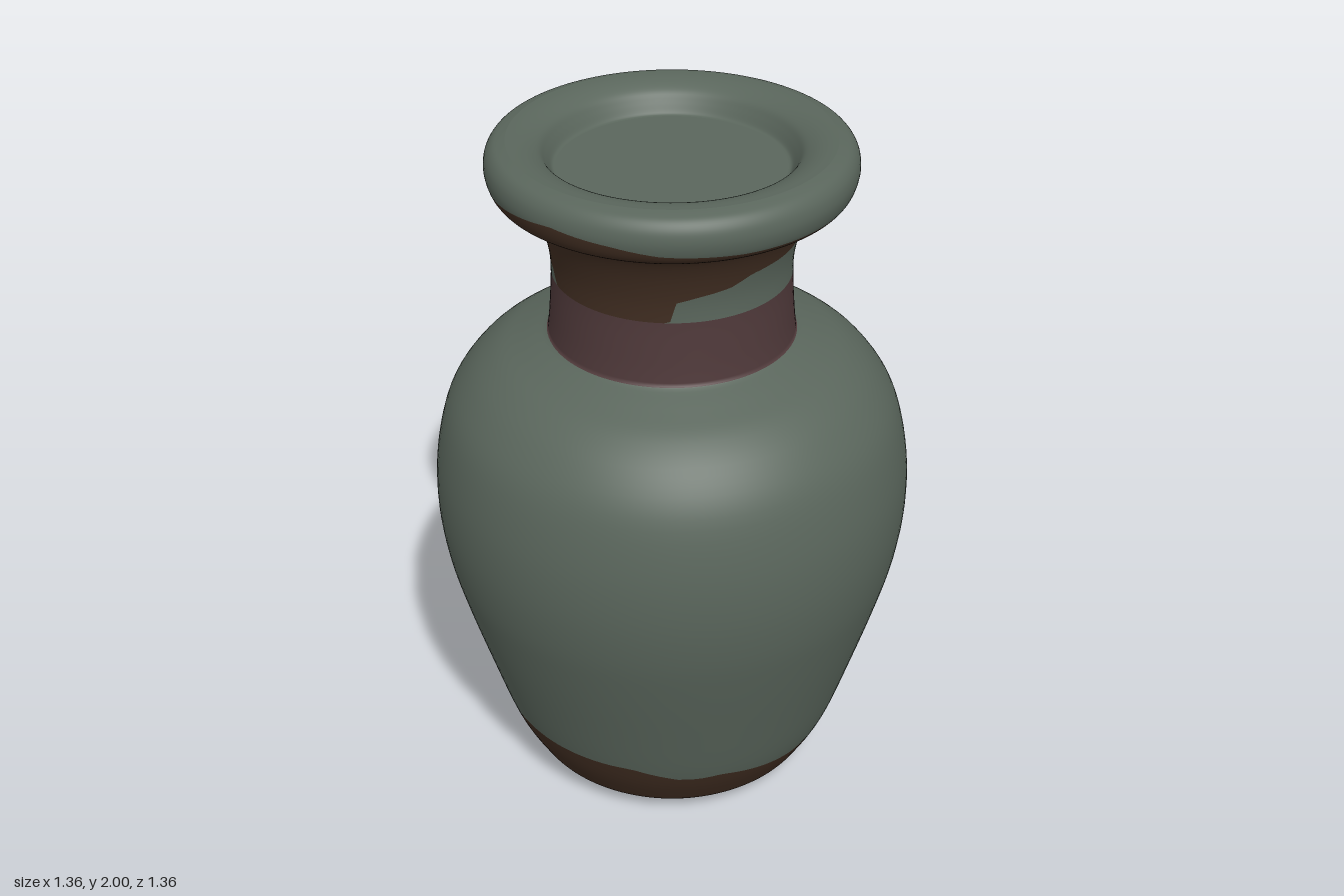
import * as THREE from 'three';

const SEGMENTS = 128;

// Outer silhouette as [radius, height], from the centre of the foot to the rim top
const dense = (pts) =>
  new THREE.SplineCurve(pts.map(([r, y]) => new THREE.Vector2(r, y))).getPoints(pts.length * 4);
const foot = [new THREE.Vector2(0, 0), new THREE.Vector2(0.2, 0.015), new THREE.Vector2(0.37, 0.034)];
const body = dense([
  [0.39, 0.037], [0.42, 0.055], [0.445, 0.09], [0.5, 0.2], [0.564, 0.4], [0.623, 0.6], [0.66, 0.75],
  [0.678, 0.9], [0.672, 1.05], [0.637, 1.2], [0.575, 1.3], [0.5, 1.365], [0.42, 1.403], [0.35, 1.432],
]);
const neck = dense([
  [0.345, 1.436], [0.338, 1.5], [0.331, 1.62], [0.337, 1.7], [0.36, 1.78], [0.395, 1.835], [0.455, 1.858],
  [0.485, 1.88], [0.499, 1.92], [0.497, 1.955], [0.484, 1.98], [0.465, 1.994], [0.44, 2.0],
]);
const profile = [...foot, ...body, ...neck];

function radiusAt(y) {
  for (let i = 1; i < profile.length; i++) {
    const a = profile[i - 1], b = profile[i];
    if (y <= b.y) return a.x + (b.x - a.x) * Math.min(1, Math.max(0, (y - a.y) / (b.y - a.y || 1)));
  }
  return profile[profile.length - 1].x;
}

// Periodic glaze edge: [degrees from the front toward +x, height]
function glazeEdge(points) {
  const keys = [...points, [360, points[0][1]]];
  return (deg) => {
    const i = Math.max(1, keys.findIndex((k) => k[0] >= deg));
    const [d0, y0] = keys[i - 1], [d1, y1] = keys[i];
    return y0 + ((y1 - y0) * (deg - d0)) / (d1 - d0);
  };
}
const level = (y) => () => y;

// Slice of the turned surface between two edges
function bandGeometry(low, high) {
  const lowest = Math.min(...Array.from({ length: 361 }, (_, d) => low(d)));
  const highest = Math.max(...Array.from({ length: 361 }, (_, d) => high(d)));
  const rows = [lowest, ...profile.map((p) => p.y).filter((y) => y > lowest && y < highest), highest];
  const position = [], normal = [], index = [];
  const n = new THREE.Vector3();
  for (let s = 0; s <= SEGMENTS; s++) {
    const deg = (s * 360) / SEGMENTS;
    const t = THREE.MathUtils.degToRad(deg);
    const bottom = low(deg), top = Math.max(bottom, high(deg));
    rows.forEach((row) => {
      const y = Math.min(top, Math.max(bottom, row));
      const r = radiusAt(y);
      const y0 = Math.max(0, y - 0.006), y1 = Math.min(2, y + 0.006);
      const slope = (radiusAt(y1) - radiusAt(y0)) / (y1 - y0);
      n.set(Math.sin(t), -slope, Math.cos(t)).normalize();
      position.push(r * Math.sin(t), y, r * Math.cos(t));
      normal.push(n.x, n.y, n.z);
    });
  }
  const count = rows.length;
  const height = (i) => position[i * 3 + 1];
  for (let s = 0; s < SEGMENTS; s++) {
    for (let k = 0; k < count - 1; k++) {
      const a = s * count + k, b = a + count, c = b + 1, d = a + 1;
      if (height(d) > height(a)) index.push(a, b, d);
      if (height(c) > height(b)) index.push(c, d, b);
    }
  }
  const geometry = new THREE.BufferGeometry();
  geometry.setAttribute('position', new THREE.Float32BufferAttribute(position, 3));
  geometry.setAttribute('normal', new THREE.Float32BufferAttribute(normal, 3));
  geometry.setIndex(index);
  return geometry;
}

export function createModel() {
  const material = (name, color) => Object.assign(new THREE.MeshStandardMaterial({ color }), { name });
  const green = material('greyGreenGlaze', 0x5a665c);
  const brown = material('brownClay', 0x402d21);
  const maroon = material('maroonBand', 0x4f393a);

  const group = new THREE.Group();
  group.name = 'vase';
  const add = (name, geometry, mat) => {
    const mesh = new THREE.Mesh(geometry, mat);
    mesh.name = name;
    group.add(mesh);
    return mesh;
  };

  // Uneven edges where the glaze stops
  const footEdge = glazeEdge([
    [0, 0.16], [15, 0.167], [30, 0.18], [45, 0.175], [60, 0.19], [75, 0.2], [90, 0.185], [105, 0.198],
    [117, 0.21], [123, 0.205], [132, 0.175], [142, 0.19], [152, 0.24], [165, 0.22], [180, 0.215],
    [195, 0.235], [210, 0.2], [225, 0.165], [240, 0.2], [255, 0.24], [270, 0.24], [285, 0.24],
    [300, 0.24], [315, 0.2], [322, 0.197], [330, 0.205], [345, 0.18],
  ]);
  const neckEdge = glazeEdge([
    [0, 1.74], [30, 1.745], [60, 1.74], [75, 1.715], [90, 1.71], [120, 1.705], [150, 1.72], [180, 1.7],
    [200, 1.67], [215, 1.64], [226, 1.63], [231, 1.66], [238, 1.66], [244, 1.62], [312, 1.62],
    [315, 1.68], [325, 1.695], [340, 1.71], [350, 1.735],
  ]);
  const rimEdge = glazeEdge([
    [0, 1.883], [40, 1.885], [60, 1.89], [75, 1.9], [90, 1.915], [105, 1.92], [118, 1.935], [125, 1.93],
    [129, 1.9], [145, 1.905], [160, 1.92], [180, 1.91], [205, 1.89], [230, 1.89], [255, 1.91],
    [275, 1.93], [295, 1.915], [310, 1.895], [335, 1.885],
  ]);

  // Outside, from the foot upward
  add('foot', bandGeometry(level(0), footEdge), brown);
  add('body', bandGeometry(footEdge, level(1.434)), green);
  add('neckBand', bandGeometry(level(1.434), level(1.62)), maroon);
  add('neckGlaze', bandGeometry(level(1.62), neckEdge), green);
  add('upperNeck', bandGeometry(neckEdge, rimEdge), brown);
  add('rim', bandGeometry(rimEdge, level(2)), green);

  // Lip curling into the shallow mouth, closed by a flat floor
  const lip = dense([[0.44, 2], [0.41, 1.998], [0.38, 1.99], [0.352, 1.974], [0.335, 1.95], [0.32, 1.925], [0.31, 1.92]]);
  add('lip', new THREE.LatheGeometry(lip, SEGMENTS), green);
  const floor = add('mouthFloor', new THREE.CircleGeometry(0.312, 64), green);
  floor.rotation.x = -Math.PI / 2;
  floor.position.y = 1.92;

  return group;
}
